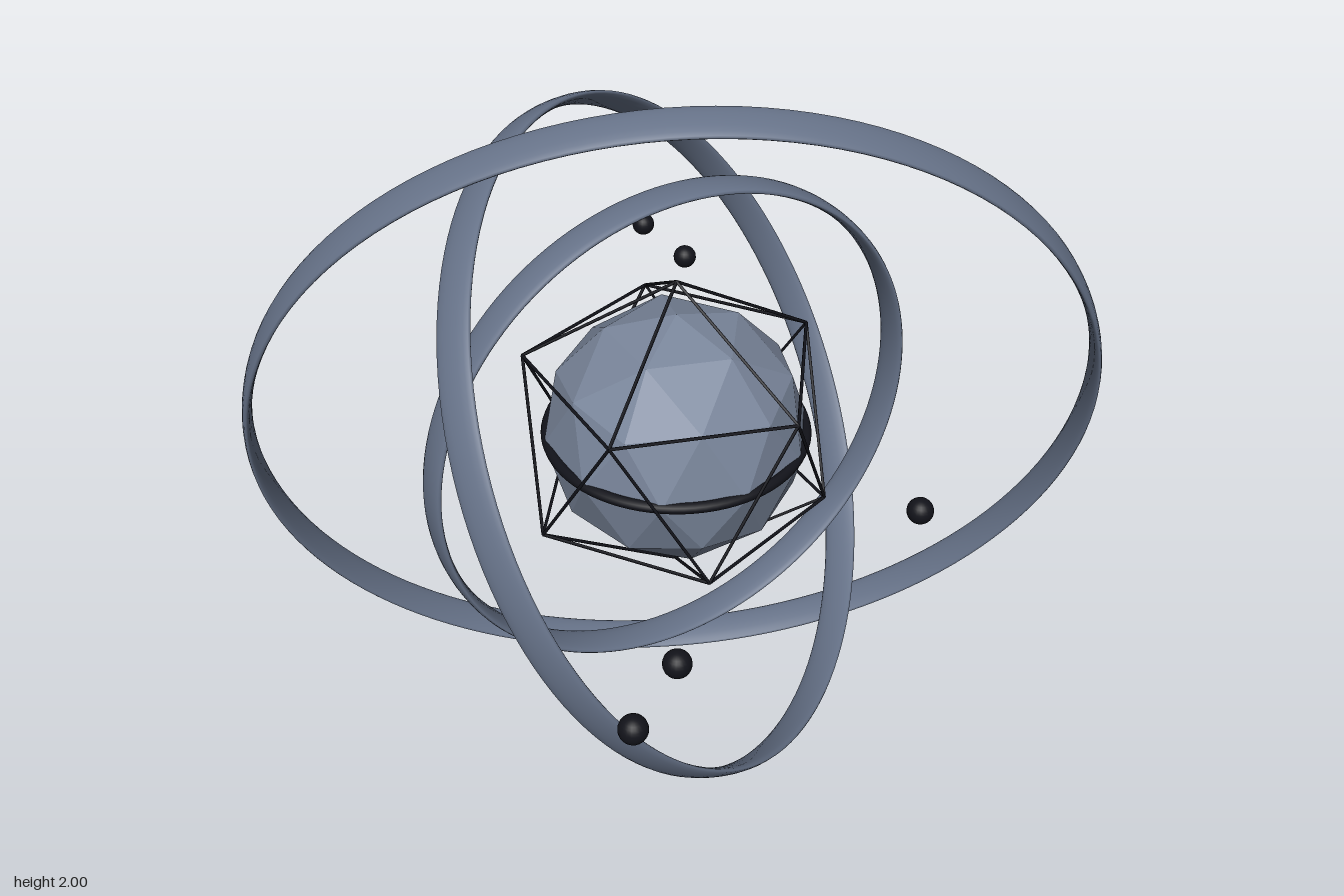
import * as THREE from 'three';

const material = (color, flatShading = false) => new THREE.MeshStandardMaterial({ color, flatShading });
const CENTRE = new THREE.Vector3(0, 1, 0.043);

export function createModel() {
  const model = new THREE.Group();
  const stone = material(0x79859a, true);
  const steel = material(0x667288);
  const black = material(0x12131a);

  const assembly = new THREE.Group();
  assembly.name = 'coreAssembly';
  assembly.position.copy(CENTRE);
  model.add(assembly);

  const add = (parent, name, geometry, mat) => {
    const mesh = new THREE.Mesh(geometry, mat);
    mesh.name = name;
    parent.add(mesh);
    return mesh;
  };

  // Icosahedra stand on a vertex
  const upright = (radius, detail) =>
    new THREE.IcosahedronGeometry(radius, detail).rotateZ(-Math.atan(2 / (1 + Math.sqrt(5))));

  // Faceted core with a thin belt half sunk into it
  add(assembly, 'core', upright(0.33, 1), stone);
  add(assembly, 'belt', new THREE.TorusGeometry(0.32, 0.014, 10, 80).rotateX(Math.PI / 2), black);

  // Wire cage: one thin rod along each edge
  const cage = new THREE.Group();
  cage.name = 'wireCage';
  assembly.add(cage);
  const ends = new THREE.EdgesGeometry(upright(0.42, 0)).attributes.position;
  const up = new THREE.Vector3(0, 1, 0);
  for (let i = 0; i < ends.count; i += 2) {
    const a = new THREE.Vector3().fromBufferAttribute(ends, i);
    const b = new THREE.Vector3().fromBufferAttribute(ends, i + 1);
    const rod = add(cage, 'cageRod', new THREE.CylinderGeometry(0.004, 0.004, a.distanceTo(b), 6), black);
    rod.position.copy(a).add(b).multiplyScalar(0.5);
    rod.quaternion.setFromUnitVectors(up, b.sub(a).normalize());
  }

  // Gimbal rings: thin radially, wide along their axis
  const rings = [
    ['innerRing', 0.652, 0, 0],
    ['middleRing', 0.84, -28, 40],
    ['outerRing', 1.032, 18, -25],
  ];
  for (const [name, radius, tilt, turn] of rings) {
    const geometry = new THREE.TorusGeometry(radius, 0.0115, 16, 128).scale(1, 1, 4);
    const ring = add(assembly, name, geometry, steel);
    ring.rotation.set(THREE.MathUtils.degToRad(tilt), THREE.MathUtils.degToRad(turn), 0, 'YXZ');
  }

  // Small orbiting beads, level with the core
  const beads = [[0.43, -0.886], [0.44, -0.662], [0.325, 0.609], [-0.418, 0.765], [-0.588, 0.882]];
  for (const [x, z] of beads) {
    add(model, 'bead', new THREE.SphereGeometry(0.032, 20, 14), black).position.set(x, CENTRE.y, z);
  }

  return model;
}
